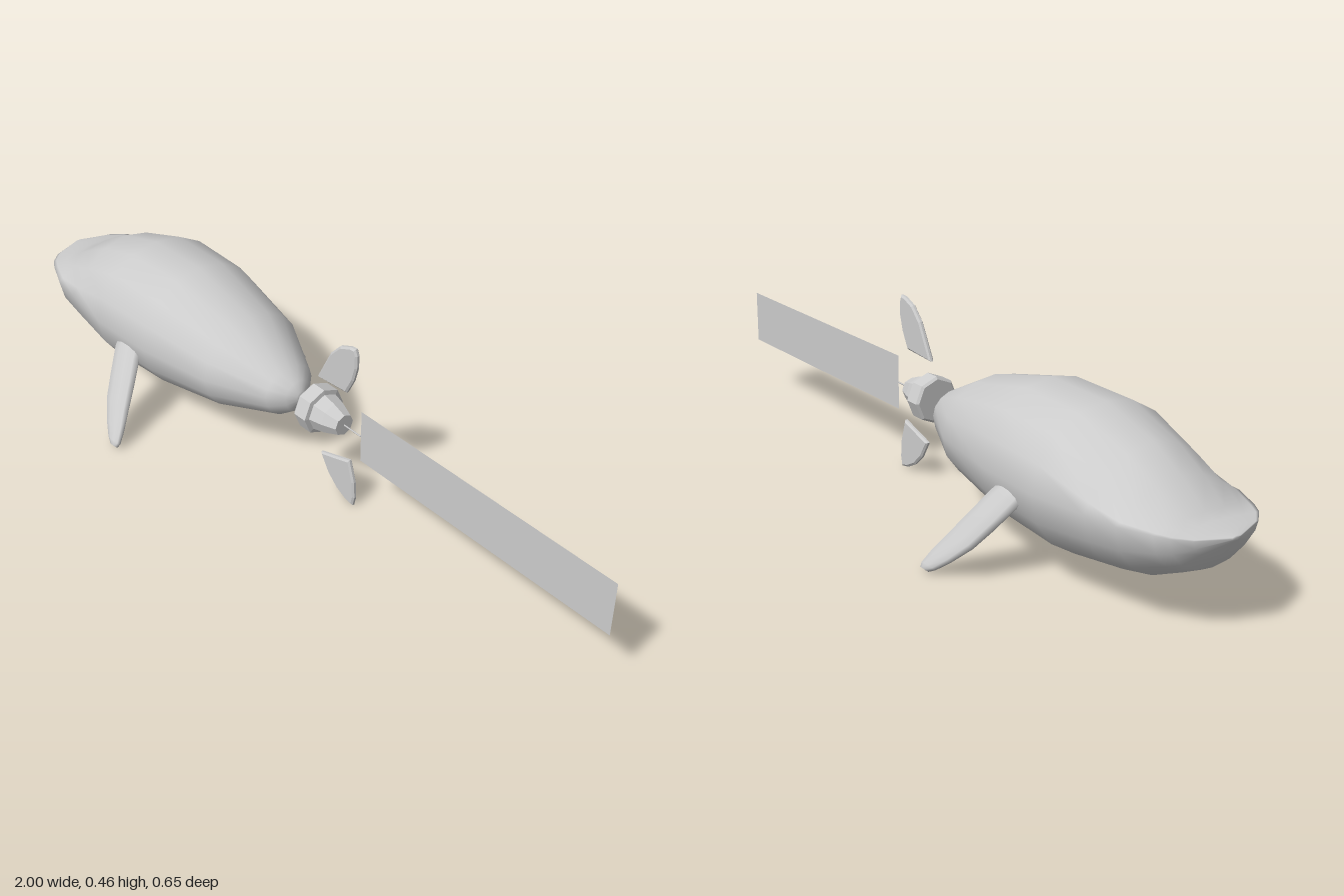
import * as THREE from 'three';

const grey = new THREE.MeshStandardMaterial({ color: 0xcccccc });
const flatGrey = new THREE.MeshStandardMaterial({ color: 0xcccccc, flatShading: true });
const sheetGrey = new THREE.MeshStandardMaterial({ color: 0xcccccc, side: THREE.DoubleSide });
const AXIS_Y = 0.227;

// Skins a list of equal-sized rings of Vector3 and closes both ends
function loft(rings) {
  const n = rings[0].length, pos = [], index = [];
  rings.forEach(r => r.forEach(p => pos.push(p.x, p.y, p.z)));
  for (let i = 0; i < rings.length - 1; i++) {
    for (let j = 0; j < n; j++) {
      const a = i * n + j, b = i * n + (j + 1) % n;
      index.push(a, a + n, b, b, a + n, b + n);
    }
  }
  [rings[0], rings[rings.length - 1]].forEach((ring, end) => {
    const c = ring.reduce((s, p) => s.add(p), new THREE.Vector3()).divideScalar(n);
    const centre = pos.length / 3, base = end * (rings.length - 1) * n;
    pos.push(c.x, c.y, c.z);
    for (let j = 0; j < n; j++) {
      const a = base + j, b = base + (j + 1) % n;
      if (end) index.push(centre, b, a); else index.push(centre, a, b);
    }
  });
  const g = new THREE.BufferGeometry();
  g.setAttribute('position', new THREE.Float32BufferAttribute(pos, 3));
  g.setIndex(index);
  g.computeVertexNormals();
  return g;
}

function add(parent, name, geometry, material) {
  const mesh = new THREE.Mesh(geometry, material);
  mesh.name = name;
  parent.add(mesh);
  return mesh;
}

// Body stations: x, rim height, top, bottom, half width, upper bell exponent
function bodyGeometry() {
  const stations = [
    [-1.0, 0.235, 0.238, 0.228, 0.012, 1],
    [-0.97, 0.237, 0.243, 0.188, 0.09, 2],
    [-0.94, 0.239, 0.248, 0.147, 0.123, 2.4],
    [-0.91, 0.24, 0.258, 0.13, 0.14, 2.8],
    [-0.835, 0.24, 0.312, 0.095, 0.172, 2.6],
    [-0.75, 0.238, 0.36, 0.076, 0.182, 1.8],
    [-0.6, 0.235, 0.405, 0.055, 0.2, 1],
    [-0.41, 0.235, 0.41, 0.068, 0.19, 1],
    [-0.2, 0.233, 0.36, 0.105, 0.15, 1],
    [-0.05, 0.228, 0.285, 0.15, 0.075, 1],
    [-0.015, 0.225, 0.262, 0.175, 0.04, 1],
    [0, 0.224, 0.24, 0.208, 0.015, 1],
  ];
  const sides = 16;
  return loft(stations.map(([x, y, top, bottom, w, bell]) =>
    Array.from({ length: sides }, (_, j) => {
      const t = j / sides * Math.PI * 2, s = Math.sin(t);
      const dy = s > 0 ? (top - y) * s ** bell : (y - bottom) * s;
      return new THREE.Vector3(x, y + dy, w * Math.cos(t));
    })));
}

// Flipper stations: x, y, z, chord, thickness
function flipperGeometry(side) {
  const stations = [
    [-0.5, 0.215, 0.165, 0.085, 0.036],
    [-0.49, 0.187, 0.187, 0.1, 0.04],
    [-0.46, 0.13, 0.23, 0.1, 0.036],
    [-0.435, 0.085, 0.265, 0.095, 0.032],
    [-0.405, 0.045, 0.296, 0.075, 0.026],
    [-0.385, 0.02, 0.315, 0.05, 0.021],
    [-0.378, 0.011, 0.322, 0.028, 0.015],
  ];
  const u = new THREE.Vector3(1, 0, 0);
  const v = u.clone().cross(new THREE.Vector3(0, -0.76, side * 0.65));
  return loft(stations.map(([x, y, z, chord, thick]) =>
    Array.from({ length: 10 }, (_, j) => {
      const t = j / 10 * Math.PI * 2;
      return new THREE.Vector3(x, y, z * side)
        .addScaledVector(u, Math.cos(t) * chord / 2)
        .addScaledVector(v, Math.sin(t) * thick / 2);
    })));
}

// Thin upright blade with softened rim
function finGeometry(points) {
  const shape = new THREE.Shape(points.map(p => new THREE.Vector2(...p)));
  const g = new THREE.ExtrudeGeometry(shape, {
    depth: 0.006, bevelEnabled: true, bevelThickness: 0.004,
    bevelSize: 0.005, bevelOffset: -0.005, bevelSegments: 1,
  });
  return g.translate(0, 0, -0.003);
}

export function createModel() {
  const group = new THREE.Group();
  group.name = 'swimmingToy';

  add(group, 'body', bodyGeometry(), grey);
  add(group, 'leftFlipper', flipperGeometry(1), grey);
  add(group, 'rightFlipper', flipperGeometry(-1), grey);

  // Detached tail fins above and below the hub
  add(group, 'upperTailFin', finGeometry([
    [0.065, 0.323], [0.17, 0.33], [0.193, 0.375], [0.204, 0.415], [0.204, 0.45],
    [0.198, 0.467], [0.18, 0.465], [0.145, 0.45], [0.112, 0.415],
  ]), flatGrey);
  add(group, 'lowerTailFin', finGeometry([
    [0.08, 0.102], [0.108, 0.055], [0.14, 0.025], [0.175, 0.007], [0.2, 0.003],
    [0.206, 0.03], [0.203, 0.075], [0.185, 0.135],
  ]), flatGrey);

  // Stepped eight-sided hub behind the body
  const hubProfile = [
    [0, 0.04], [0.056, 0.04], [0.062, 0.046], [0.062, 0.085], [0.05, 0.087],
    [0.042, 0.122], [0.028, 0.16], [0, 0.16],
  ].map(p => new THREE.Vector2(...p));
  const hub = add(group, 'tailHub', new THREE.LatheGeometry(hubProfile, 8), flatGrey);
  hub.rotation.z = -Math.PI / 2;
  hub.position.y = AXIS_Y;

  // Thin rod carrying a flat streamer
  const rod = add(group, 'rod', new THREE.CylinderGeometry(0.002, 0.002, 0.06, 6), grey);
  rod.rotation.z = Math.PI / 2;
  rod.position.set(0.19, AXIS_Y, 0);
  const streamer = add(group, 'streamer', new THREE.PlaneGeometry(0.78, 0.145), sheetGrey);
  streamer.position.set(0.61, AXIS_Y, 0);

  return group;
}
